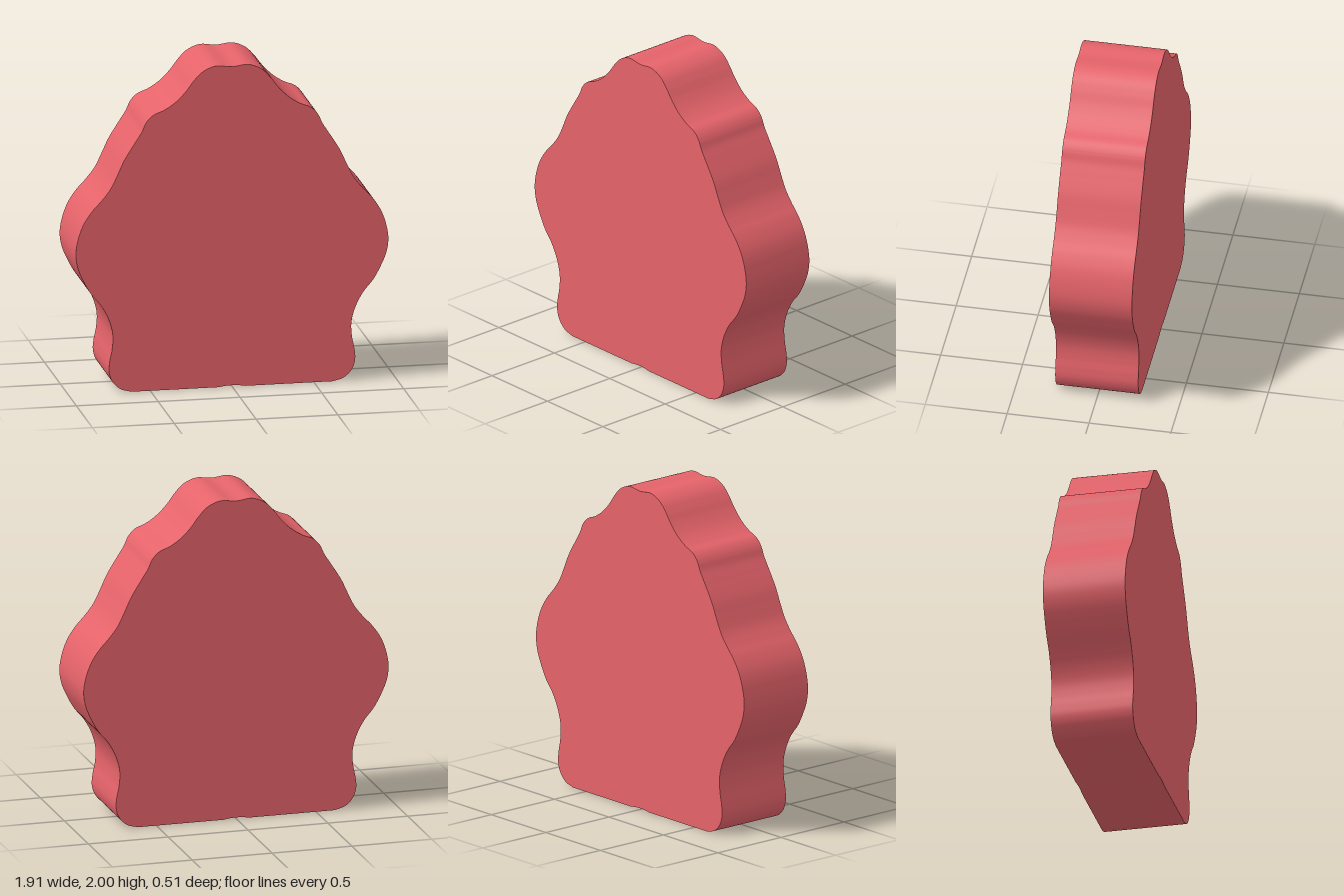
import * as THREE from 'three';
import { toCreasedNormals } from 'three/addons/utils/BufferGeometryUtils.js';

const DEPTH = 0.506;

// Right half of the scalloped outline, from the base corner up to the crown
const HALF = [
  [0.615, 0], [0.684, 0.021], [0.732, 0.069], [0.752, 0.132], [0.747, 0.2],
  [0.733, 0.27], [0.729, 0.36], [0.753, 0.454], [0.8, 0.544], [0.864, 0.623],
  [0.911, 0.708], [0.943, 0.787], [0.955, 0.872], [0.94, 0.967], [0.906, 1.057],
  [0.853, 1.136], [0.795, 1.199], [0.742, 1.268], [0.7, 1.352], [0.658, 1.442],
  [0.589, 1.553], [0.552, 1.611], [0.524, 1.67], [0.483, 1.712], [0.415, 1.741],
  [0.346, 1.786], [0.283, 1.849], [0.235, 1.912], [0.18, 1.967], [0.1, 1.999],
];

function createOutline() {
  const mirrored = HALF.map(([x, y]) => [-x, y]).reverse();
  const points = [...HALF, [0, 1.99], ...mirrored].map(([x, y]) => new THREE.Vector3(x, y, 0));
  const edge = new THREE.CatmullRomCurve3(points, false, 'centripetal').getPoints(360);
  const shape = new THREE.Shape(edge.map((p) => new THREE.Vector2(p.x, Math.max(0, p.y))));
  // Flat base with a faint notch in the middle
  shape.lineTo(-0.08, 0);
  shape.quadraticCurveTo(-0.04, 0.008, 0, 0.008);
  shape.quadraticCurveTo(0.04, 0.008, 0.08, 0);
  shape.closePath();
  return shape;
}

export function createModel() {
  const group = new THREE.Group();
  group.name = 'scallopedBlock';

  // Solid slab with smooth sides and sharp front and back rims
  const slab = new THREE.ExtrudeGeometry(createOutline(), { depth: DEPTH, bevelEnabled: false, curveSegments: 8 });
  slab.translate(0, 0, -DEPTH / 2);
  const body = new THREE.Mesh(
    toCreasedNormals(slab, Math.PI / 5),
    new THREE.MeshStandardMaterial({ color: 0xe5636a }),
  );
  body.name = 'body';
  group.add(body);
  return group;
}
